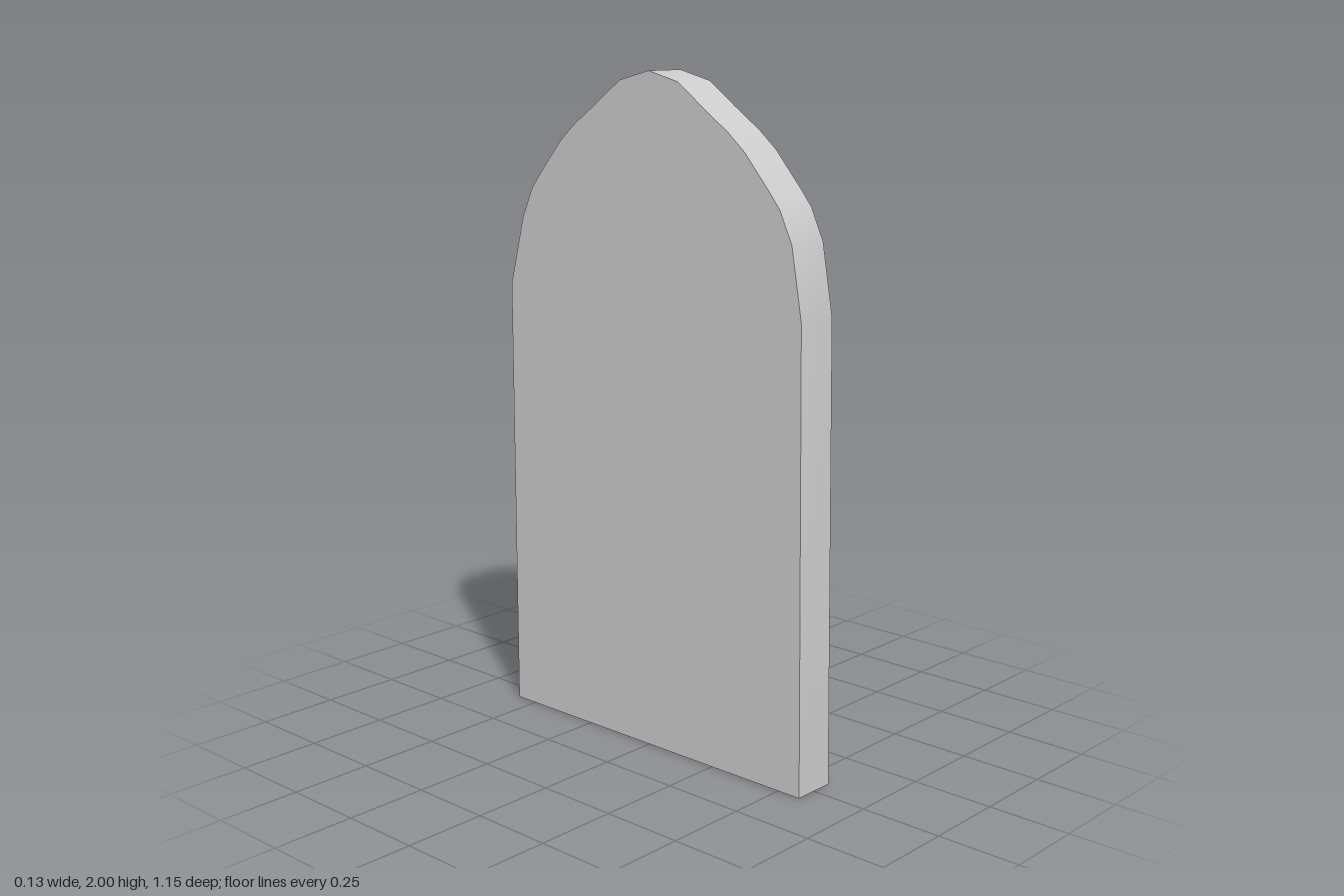
import * as THREE from 'three';
import { toCreasedNormals } from 'three/addons/utils/BufferGeometryUtils.js';

const THICKNESS = 0.134;

// Half of the pointed arch, from the shoulder up to just below the tip: [distance from centre, height]
const ARCH = [
  [0.52, 1.555], [0.478, 1.645], [0.442, 1.69], [0.352, 1.793], [0.293, 1.843],
  [0.203, 1.905], [0.158, 1.938], [0.11, 1.972],
];

export function createModel() {
  const group = new THREE.Group();
  group.name = 'archedPanel';

  // Outline in (z, y): one edge is upright, the other leans in slightly
  const outline = [
    [-0.576, 0], [0.576, 0], [0.556, 1.35],
    ...ARCH,
    [0, 2],
    ...ARCH.map(([z, y]) => [-z, y]).reverse(),
    [-0.576, 1.345],
  ];
  const shape = new THREE.Shape(outline.map(([z, y]) => new THREE.Vector2(z, y)));

  // Slab across x, with the arch rim shaded smooth and the edges kept sharp
  const slab = new THREE.ExtrudeGeometry(shape, { depth: THICKNESS, bevelEnabled: false });
  slab.translate(0, 0, -THICKNESS / 2);
  slab.rotateY(-Math.PI / 2);

  const panel = new THREE.Mesh(
    toCreasedNormals(slab, 0.7),
    new THREE.MeshStandardMaterial({ color: 0xcccccc }),
  );
  panel.name = 'panel';
  group.add(panel);
  return group;
}
